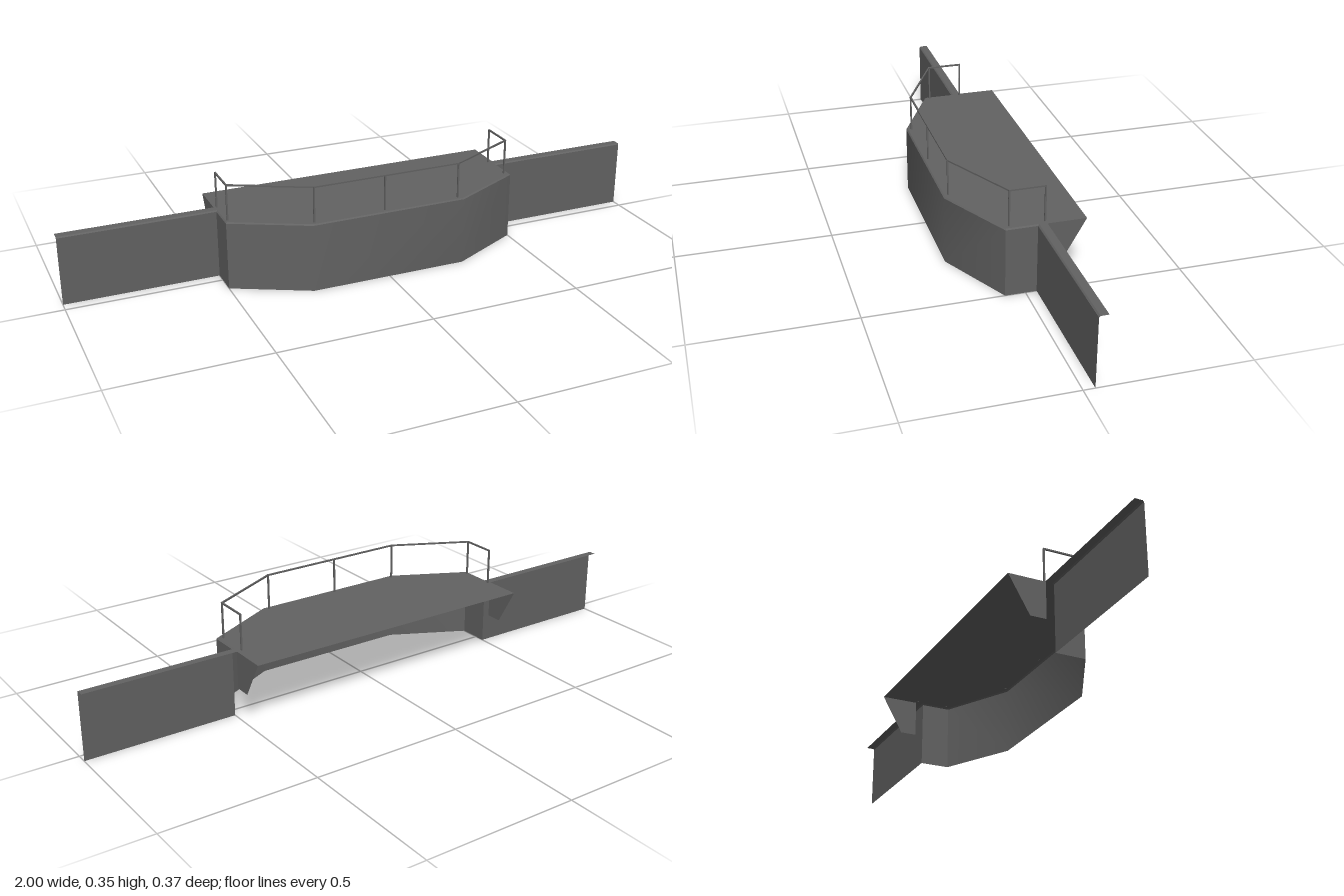
import * as THREE from 'three';
import { toCreasedNormals } from 'three/addons/utils/BufferGeometryUtils.js';

const material = new THREE.MeshStandardMaterial({ color: 0x626262, side: THREE.DoubleSide });
const TOP = 0.227, LIP = 0.004, RAIL_Y = 0.344;

// Plan outline [x, z] of the bay and its two wings, mitred inwards by d
function outline(d) {
  const half = [
    [0.26 - 0.25 * d, 0.187 - d],
    [0.5 - d, 0.064 - 0.6 * d],
    [0.5 - d, -0.035 - d],
    [1, -0.035 - d],
  ];
  return [...half.map(([x, z]) => [-x, z]).reverse(), ...half];
}

// Quads between two equally long plan paths at heights ya and yb
function strip(a, ya, b, yb) {
  const v = [];
  for (let i = 0; i < a.length - 1; i++) {
    const p = [a[i][0], ya, a[i][1]], q = [a[i + 1][0], ya, a[i + 1][1]];
    const r = [b[i + 1][0], yb, b[i + 1][1]], s = [b[i][0], yb, b[i][1]];
    v.push(...p, ...q, ...r, ...p, ...r, ...s);
  }
  const g = new THREE.BufferGeometry();
  g.setAttribute('position', new THREE.Float32BufferAttribute(v, 3));
  return toCreasedNormals(g, 0.6);
}

// Flat polygon from 2D points
function flat(points) {
  return new THREE.ShapeGeometry(new THREE.Shape(points.map(([x, y]) => new THREE.Vector2(x, y))));
}

// Thin square bar between two points
function bar(name, a, b) {
  const from = new THREE.Vector3(...a), to = new THREE.Vector3(...b);
  const mesh = new THREE.Mesh(new THREE.BoxGeometry(0.005, 0.005, from.distanceTo(to) + 0.003), material);
  mesh.position.copy(from).lerp(to, 0.5);
  mesh.lookAt(to);
  mesh.name = name;
  return mesh;
}

export function createModel() {
  const group = new THREE.Group();
  const add = (name, geometry) => {
    const mesh = new THREE.Mesh(geometry, material);
    mesh.name = name;
    group.add(mesh);
  };

  // Continuous facing wall with a small chamfer along its top
  const outer = outline(0), inner = outline(LIP);
  add('facingWall', strip(outer, 0, outer, TOP - LIP));
  add('wallChamfer', strip(outer, TOP - LIP, inner, TOP));

  // Deck: fills the bay and overhangs behind
  const bay = inner.slice(1, -1).map(([x, z]) => [x, -z]);
  add('deck', flat([[-0.5, 0.187], [-0.5, 0.039], ...bay, [0.5, 0.039], [0.5, 0.187]])
    .rotateX(-Math.PI / 2).translate(0, TOP, 0));

  for (const side of [-1, 1]) {
    const prefix = side > 0 ? 'left' : 'right';

    // Flat coping behind the top of each wing, wound to face up on both sides
    const ends = [0.496 * side, side].sort((a, b) => a - b);
    add(prefix + 'WingCoping', strip(
      ends.map((x) => [x, -0.039]), TOP, ends.map((x) => [x, -0.064]), TOP));

    // Tapered side plate under the rear of the deck
    add(prefix + 'SidePlate', flat([[0.062, TOP], [0.062, 0.103], [0.116, 0.103], [0.187, TOP]])
      .rotateY(Math.PI / 2).translate(side * 0.5, 0, 0));
  }

  // Railing follows the bay just inside its edge
  const railing = new THREE.Group();
  railing.name = 'railing';
  const path = [
    [-0.49, -0.062], [-0.49, 0.049], [-0.25, 0.171],
    [0.245, 0.171], [0.483, 0.049], [0.483, -0.062],
  ];
  for (let i = 0; i < path.length - 1; i++) {
    const [a, b] = [path[i], path[i + 1]];
    railing.add(bar('handrail', [a[0], RAIL_Y, a[1]], [b[0], RAIL_Y, b[1]]));
  }
  for (const [x, z] of [...path, [-0.012, 0.171]]) {
    railing.add(bar('railPost', [x, TOP, z], [x, RAIL_Y, z]));
  }
  group.add(railing);
  return group;
}
